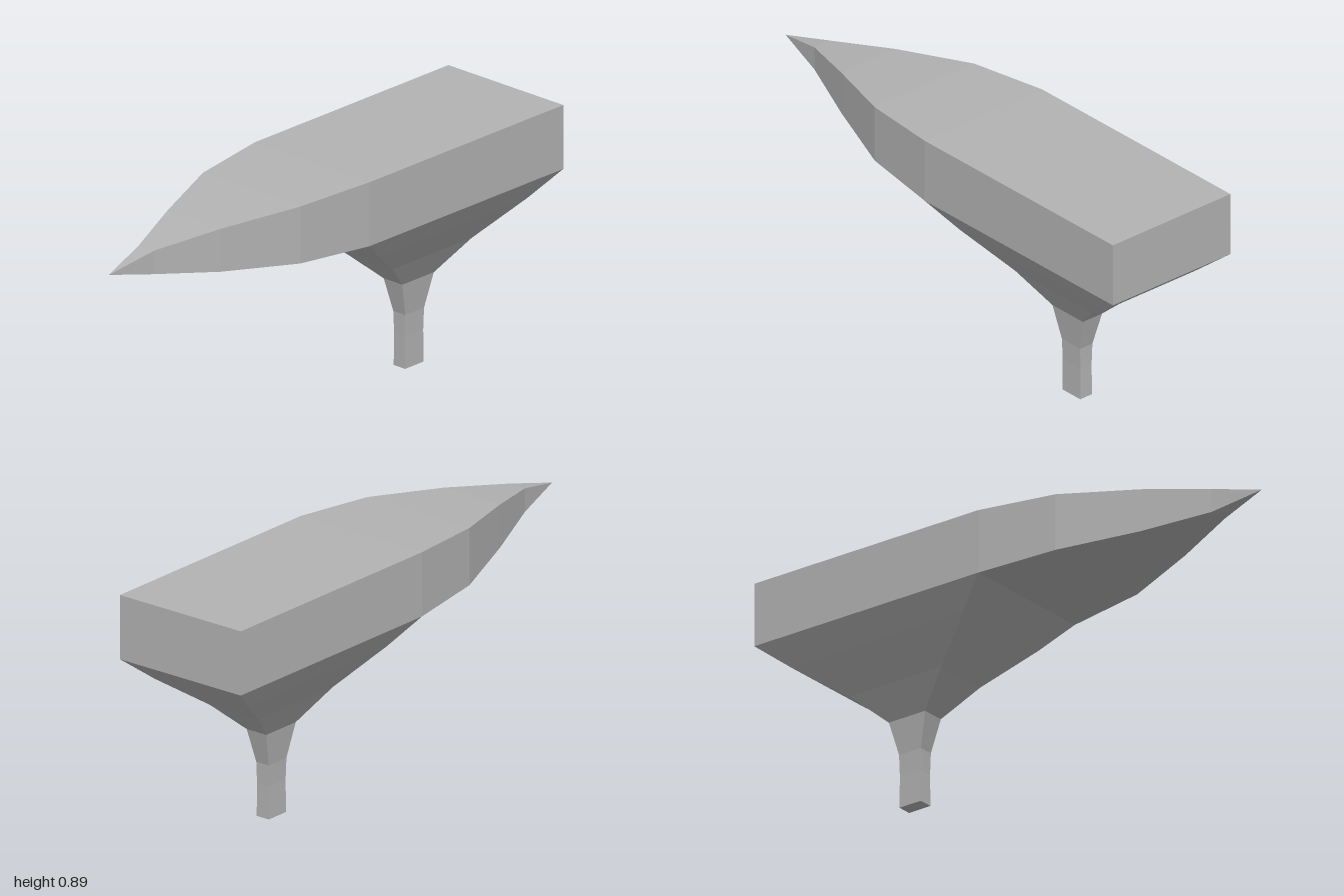
import * as THREE from 'three';

// Skin four-cornered rings, ordered counterclockwise about the loft direction.
function loft(rings) {
  const pos = [];
  const quad = (a, b, c, d) => pos.push(...a, ...b, ...c, ...a, ...c, ...d);
  for (let s = 0; s < rings.length - 1; s++) {
    for (let i = 0; i < 4; i++) {
      const j = (i + 1) % 4;
      quad(rings[s][i], rings[s][j], rings[s + 1][j], rings[s + 1][i]);
    }
  }
  const [a, b, c, d] = rings[0];
  quad(d, c, b, a);
  quad(...rings[rings.length - 1]);
  const geometry = new THREE.BufferGeometry();
  geometry.setAttribute('position', new THREE.Float32BufferAttribute(pos, 3));
  geometry.computeVertexNormals();
  return geometry;
}

export function createModel() {
  const group = new THREE.Group();
  const grey = new THREE.MeshStandardMaterial({ color: 0xb3b3b3, flatShading: true });
  grey.name = 'light grey';

  const add = (name, rings) => {
    const mesh = new THREE.Mesh(loft(rings), grey);
    mesh.name = name;
    group.add(mesh);
  };

  // Pointed body: x, bottom y, top y, half width
  add('body', [
    [-1, 0.77, 0.77, 0],
    [-0.81, 0.727, 0.814, 0.036],
    [-0.57, 0.69, 0.849, 0.125],
    [-0.28, 0.664, 0.875, 0.229],
    [0.025, 0.65, 0.887, 0.27],
    [1, 0.65, 0.887, 0.27],
  ].map(([x, y0, y1, z]) => [[x, y0, -z], [x, y1, -z], [x, y1, z], [x, y0, z]]));

  // Flared stem below the body: y, left and right x, half depth
  add('stem', [
    [0, 0.464, 0.557, 0.027],
    [0.12, 0.465, 0.556, 0.026],
    [0.2, 0.463, 0.558, 0.028],
    [0.326, 0.432, 0.59, 0.044],
    [0.435, 0.312, 0.71, 0.109],
    [0.56, 0.136, 0.888, 0.208],
    [0.65, 0.025, 1, 0.27],
  ].map(([y, x0, x1, z]) => [[x0, y, -z], [x0, y, z], [x1, y, z], [x1, y, -z]]));

  return group;
}
